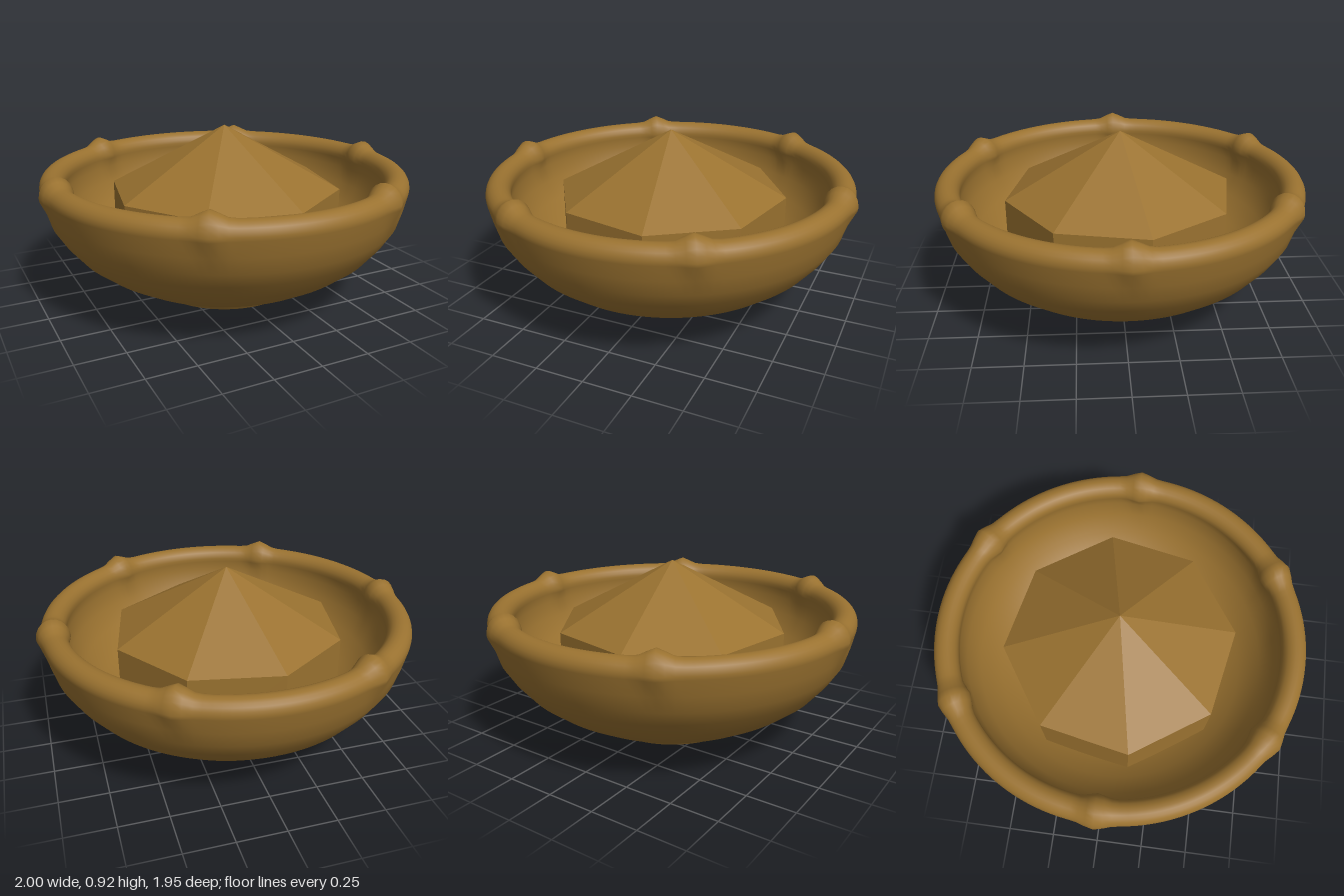
import * as THREE from 'three';
import { mergeVertices } from 'three/addons/utils/BufferGeometryUtils.js';

const RIM_R = 0.912, RIM_Y = 0.638, RIM_TUBE = 0.064;

// Bowl section: outside from foot to rim, round lip, then down the inside
function bowlProfile() {
  const outer = [[0, 0], [0.1, 0.003], [0.25, 0.015], [0.395, 0.032], [0.4, 0.036], [0.425, 0.075],
    [0.5, 0.1], [0.6, 0.145], [0.71, 0.21], [0.805, 0.285], [0.88, 0.375], [0.93, 0.455], [0.955, 0.54]];
  const inner = [[0.855, 0.57], [0.835, 0.48], [0.78, 0.38], [0.68, 0.28], [0.55, 0.205], [0.35, 0.14], [0, 0.11]];
  const lip = [];
  for (let i = 0; i <= 12; i++) {
    const a = -0.25 + (i / 12) * (Math.PI + 0.5);
    lip.push([RIM_R + RIM_TUBE * Math.cos(a), RIM_Y + RIM_TUBE * Math.sin(a)]);
  }
  return [...outer, ...lip, ...inner].map(([x, y]) => new THREE.Vector2(x, y));
}

// Swells the lip into six evenly spaced knobs
function swellRim(geometry) {
  const p = geometry.attributes.position;
  const step = Math.PI / 3;
  for (let i = 0; i < p.count; i++) {
    const x = p.getX(i), y = p.getY(i), z = p.getZ(i);
    const r = Math.hypot(x, z);
    if (y < 0.5 || r < 0.5) continue;
    const angle = Math.atan2(z, x);
    const d = angle - Math.round(angle / step) * step;
    const fade = THREE.MathUtils.smoothstep(y, 0.52, 0.64);
    const grow = 0.5 * fade * Math.exp(-((d / 0.06) ** 2));
    const newR = r + (r - RIM_R) * grow * 0.72;
    const newY = y + Math.max(0, y - RIM_Y) * grow * 1.25;
    p.setXYZ(i, (x / r) * newR, newY, (z / r) * newR);
  }
}

export function createModel() {
  const group = new THREE.Group();
  group.name = 'bowl with faceted centre';
  const bronze = new THREE.MeshStandardMaterial({ color: 0x9a7230 });
  bronze.name = 'bronze';

  // Smooth bowl with knobbed rim
  let bowlGeometry = new THREE.LatheGeometry(bowlProfile(), 144);
  swellRim(bowlGeometry);
  bowlGeometry.deleteAttribute('uv');
  bowlGeometry.deleteAttribute('normal');
  bowlGeometry = mergeVertices(bowlGeometry, 1e-4);
  bowlGeometry.computeVertexNormals();
  const bowl = new THREE.Mesh(bowlGeometry, bronze);
  bowl.name = 'bowl';
  group.add(bowl);

  // Eight-sided centre: upright sides and a pointed top, with flat facets
  const turn = Math.PI / 16;
  const addFacets = (name, geometry, y) => {
    const flat = geometry.toNonIndexed();
    flat.computeVertexNormals();
    const mesh = new THREE.Mesh(flat, bronze);
    mesh.name = name;
    mesh.position.y = y;
    group.add(mesh);
  };
  addFacets('centreSides', new THREE.CylinderGeometry(0.622, 0.622, 0.4, 8, 1, true, turn), 0.387);
  addFacets('centreTop', new THREE.ConeGeometry(0.622, 0.333, 8, 1, true, turn), 0.7535);

  return group;
}
